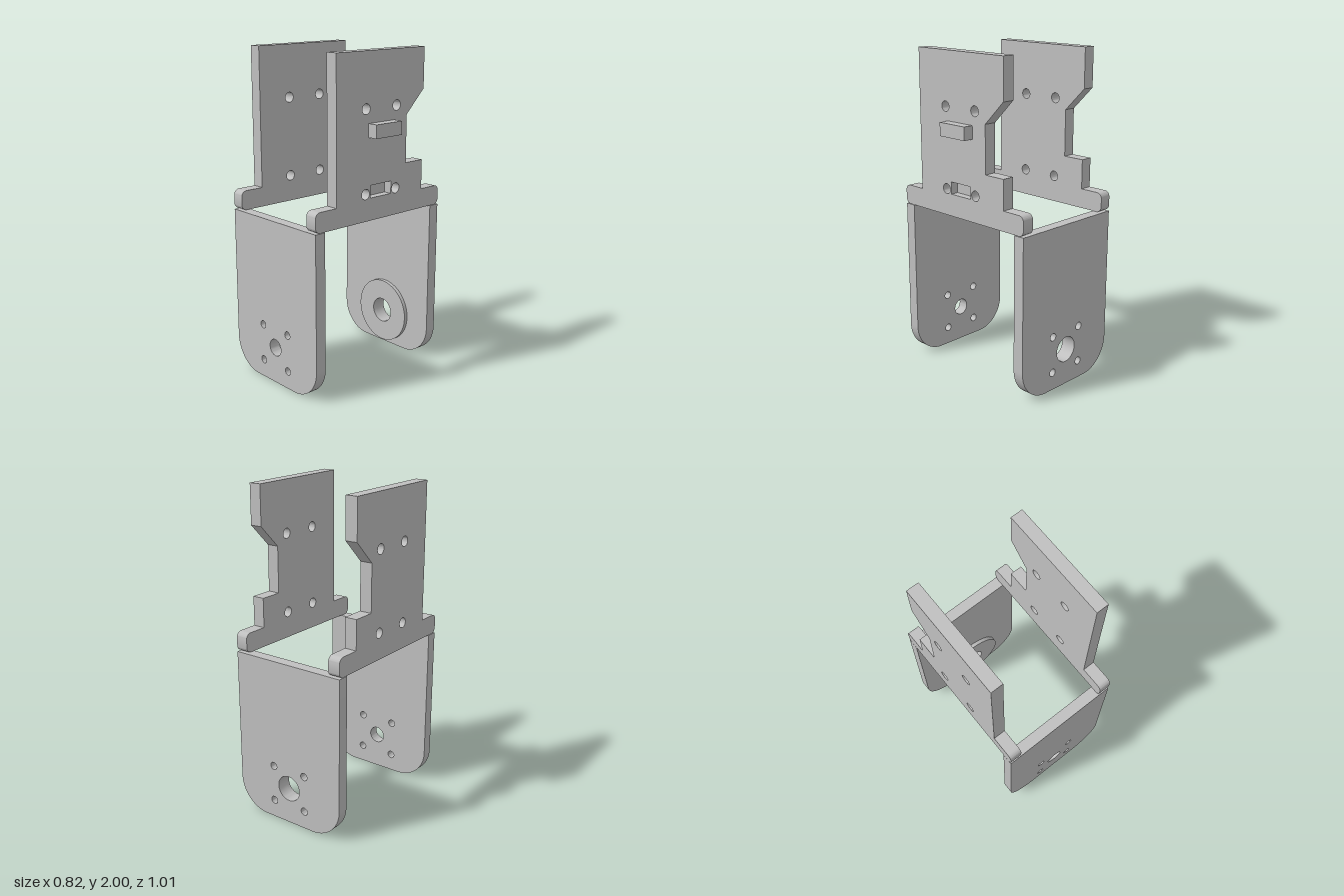
import * as THREE from 'three';
import { toCreasedNormals } from 'three/addons/utils/BufferGeometryUtils.js';

const X0 = -0.41, X1 = 0.345;           // outer faces of the side plates
const THICK = 0.077, Z = 0.503;         // side plate thickness, half depth
const PX = -0.034, PY = 0.228;          // pivot centre on the front and back plates

function circleHole(x, y, r) {
  const p = new THREE.Path();
  p.absarc(x, y, r, 0, Math.PI * 2, true);
  return p;
}

function extrude(shape, depth) {
  const g = new THREE.ExtrudeGeometry(shape, { depth, bevelEnabled: false, curveSegments: 20 });
  return toCreasedNormals(g, 0.6);
}

// Front/back plate with rounded lower corners, pivot hole and four screw holes
function pivotPlateShape(holeRadius) {
  const r = 0.2, top = 1.022;
  const s = new THREE.Shape();
  s.moveTo(X0, top);
  s.lineTo(X0, r);
  s.absarc(X0 + r, r, r, Math.PI, Math.PI * 1.5, false);
  s.lineTo(X1 - r, 0);
  s.absarc(X1 - r, r, r, -Math.PI / 2, 0, false);
  s.lineTo(X1, top);
  s.closePath();
  s.holes.push(circleHole(PX, PY, holeRadius));
  for (const dx of [-1, 1]) for (const dy of [-1, 1])
    s.holes.push(circleHole(PX + dx * 0.116, PY + dy * 0.116, 0.024));
  return s;
}

// Side plate outline, drawn with x running towards the back
function sidePlateShape(withSlot) {
  const r = 0.035, y0 = 1.025, y1 = 1.145, w = 0.348;
  const s = new THREE.Shape();
  s.moveTo(-Z + r, y0);
  s.lineTo(Z - r, y0);
  s.absarc(Z - r, y0 + r, r, -Math.PI / 2, 0, false);
  s.absarc(Z - r, y1 - r, r, 0, Math.PI / 2, false);
  for (const [x, y] of [[w, y1], [w, 1.327], [0.207, 1.327], [0.207, 1.615],
    [w, 1.755], [w, 2], [-w, 2], [-w, y1]]) s.lineTo(x, y);
  s.absarc(-Z + r, y1 - r, r, Math.PI / 2, Math.PI, false);
  s.absarc(-Z + r, y0 + r, r, Math.PI, Math.PI * 1.5, false);
  s.closePath();
  for (const x of [-0.122, 0.122]) for (const y of [1.187, 1.678])
    s.holes.push(circleHole(x, y, 0.031));
  if (withSlot) {
    const slot = new THREE.Path();
    slot.moveTo(-0.083, 1.16);
    slot.lineTo(-0.083, 1.235);
    slot.lineTo(0.083, 1.235);
    slot.lineTo(0.083, 1.16);
    slot.closePath();
    s.holes.push(slot);
  }
  return s;
}

export function createModel() {
  const group = new THREE.Group();
  const grey = new THREE.MeshStandardMaterial({ color: 0xc0c0c0 });
  grey.name = 'grey';

  const add = (name, geometry, x, y, z, parent = group) => {
    const mesh = new THREE.Mesh(geometry, grey);
    mesh.name = name;
    mesh.position.set(x, y, z);
    parent.add(mesh);
    return mesh;
  };
  const addSide = (name, withSlot, depth, x, parent) =>
    add(name, extrude(sidePlateShape(withSlot), depth).rotateY(Math.PI / 2), x, 0, 0, parent);

  // Lower pivot plates
  const plate = 0.07;
  add('frontPlate', extrude(pivotPlateShape(0.053), plate), 0, 0, Z - plate);
  add('backPlate', extrude(pivotPlateShape(0.08), plate), 0, 0, -Z);

  // Raised ring on the inner face of the back plate, closing its screw holes
  const ring = new THREE.Shape();
  ring.absarc(PX, PY, 0.208, 0, Math.PI * 2, false);
  ring.holes.push(circleHole(PX, PY, 0.08));
  add('pivotRing', extrude(ring, 0.025), 0, 0, -Z + plate);

  // Right side plate
  addSide('rightSidePlate', false, THICK, X0);

  // Left side plate in two layers, so the slot is a blind recess
  const left = new THREE.Group();
  left.name = 'leftSidePlate';
  group.add(left);
  const recess = 0.05;
  addSide('innerLayer', false, THICK - recess, X1 - THICK, left);
  addSide('slottedLayer', true, recess, X1 - recess, left);
  add('tab', new THREE.BoxGeometry(0.065, 0.08, 0.205), X1 + 0.0305, 1.555, 0, left);

  return group;
}
